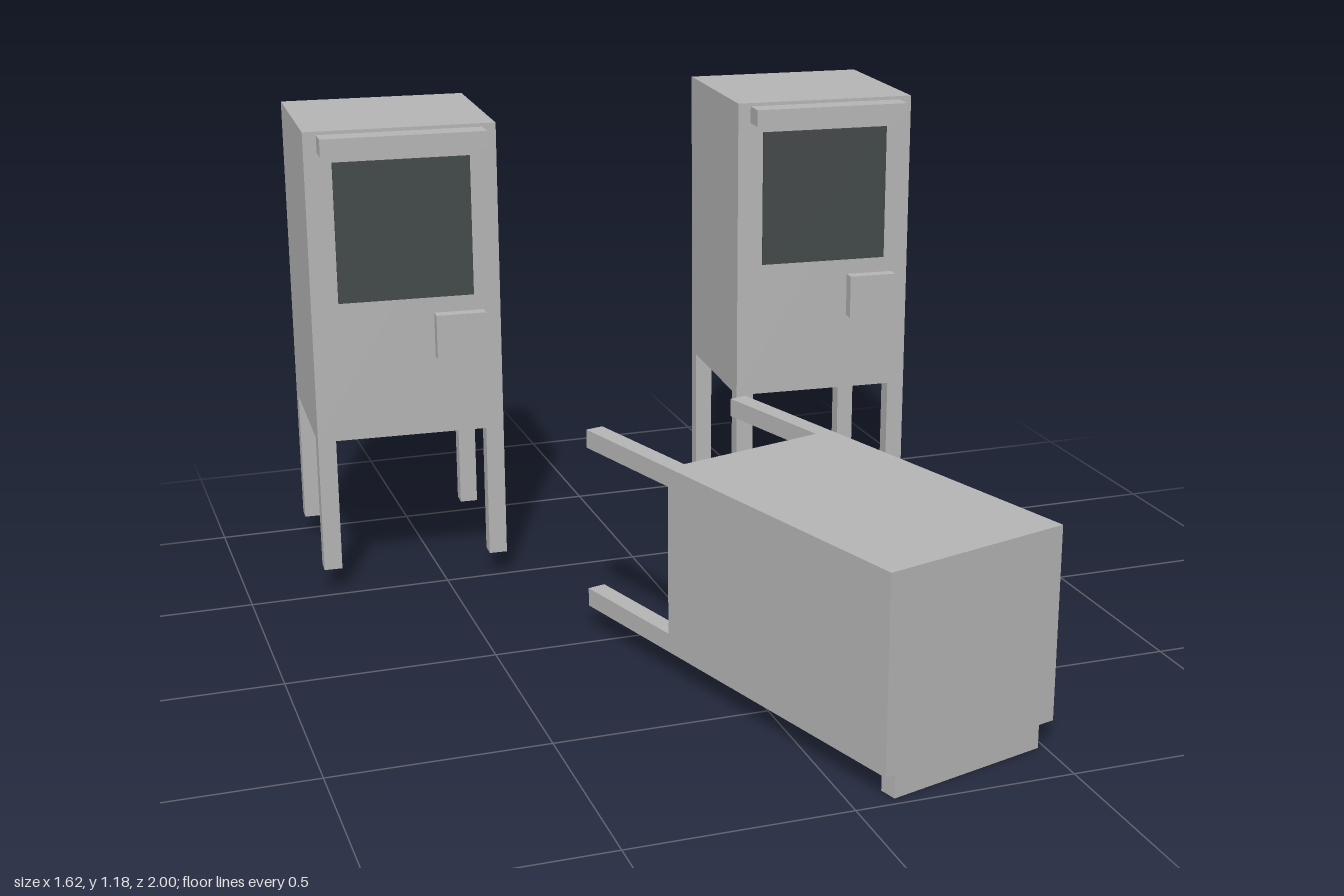
import * as THREE from 'three';

const W = 0.47, D = 0.45, H = 1.12; // cabinet width, depth, full height
const LEG = 0.045, LEG_H = 0.34;    // leg thickness and height

export function createModel() {
  const metal = new THREE.MeshStandardMaterial({ color: 0xb4b4b4 });
  metal.name = 'grey metal';
  const glass = new THREE.MeshStandardMaterial({ color: 0x424848 });
  glass.name = 'dark glass';

  function addBox(parent, name, size, position, material = metal) {
    const mesh = new THREE.Mesh(new THREE.BoxGeometry(...size), material);
    mesh.name = name;
    mesh.position.set(...position);
    parent.add(mesh);
  }

  // One vending cabinet, feet on y = 0, door facing +z
  function createCabinet(name) {
    const cabinet = new THREE.Group();
    cabinet.name = name;
    const front = D / 2;
    addBox(cabinet, 'body', [W, H - LEG_H, D], [0, (H + LEG_H) / 2, 0]);
    addBox(cabinet, 'window', [0.336, 0.35, 0.005], [0, 0.868, front + 0.0025], glass);
    addBox(cabinet, 'doorHandle', [0.404, 0.043, 0.06], [0, 1.09, front + 0.03]);
    addBox(cabinet, 'coinBox', [0.125, 0.112, 0.032], [0.13, 0.596, front + 0.016]);

    // Four legs flush with the corners
    for (const sx of [-1, 1]) {
      for (const sz of [-1, 1]) {
        const name = (sz > 0 ? 'front' : 'back') + (sx > 0 ? 'Left' : 'Right') + 'Leg';
        addBox(cabinet, name, [LEG, LEG_H, LEG],
          [sx * (W - LEG) / 2, LEG_H / 2, sz * (D - LEG) / 2]);
      }
    }
    return cabinet;
  }

  const model = new THREE.Group();
  model.name = 'vendingCabinets';

  const rightCabinet = createCabinet('rightStandingCabinet');
  rightCabinet.position.set(-0.565, 0.06, -0.735);
  rightCabinet.rotation.y = -0.05;

  const leftCabinet = createCabinet('leftStandingCabinet');
  leftCabinet.position.set(0.56, 0.06, -0.764);
  leftCabinet.rotation.y = -0.065;

  // Toppled cabinet lying on its door
  const fallenCabinet = createCabinet('fallenCabinet');
  fallenCabinet.position.set(-0.019, 0.285, -0.146);
  fallenCabinet.rotation.set(Math.PI / 2, 0.282, 0, 'YXZ');

  model.add(rightCabinet, leftCabinet, fallenCabinet);
  return model;
}
